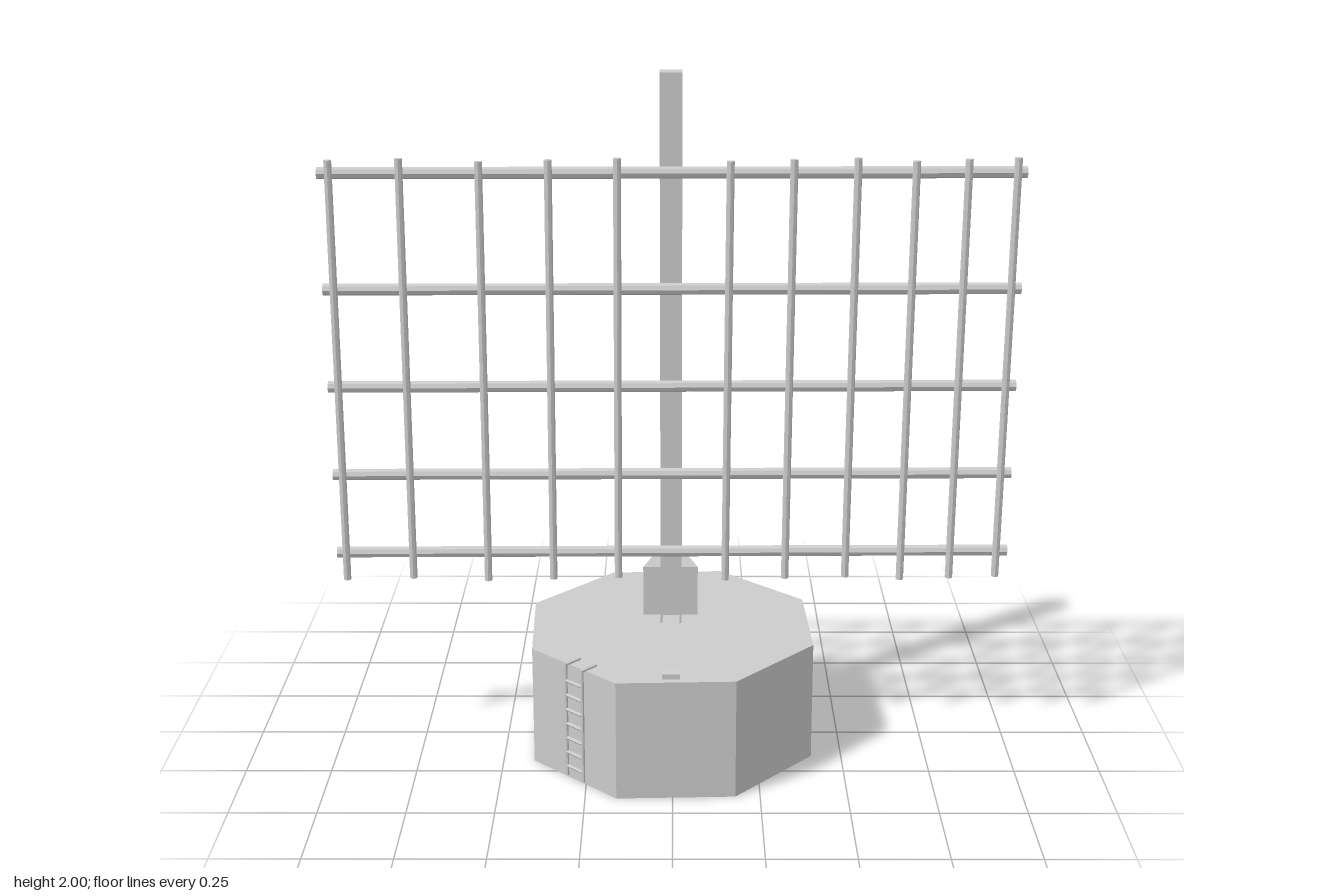
import * as THREE from 'three';

const material = new THREE.MeshStandardMaterial({ color: 0xcccccc, flatShading: true });

export function createModel() {
  const model = new THREE.Group();
  const cx = -0.005; // the mast and plinth sit slightly off centre

  function add(parent, name, geometry, x = 0, y = 0, z = 0) {
    const mesh = new THREE.Mesh(geometry, material);
    mesh.name = name;
    mesh.position.set(x, y, z);
    parent.add(mesh);
    return mesh;
  }

  function group(name) {
    const g = new THREE.Group();
    g.name = name;
    model.add(g);
    return g;
  }

  // Cylinder between two points
  function rod(parent, name, a, b, radius, sides = 8) {
    const from = new THREE.Vector3(...a), to = new THREE.Vector3(...b);
    const dir = to.clone().sub(from);
    const mesh = add(parent, name, new THREE.CylinderGeometry(radius, radius, dir.length(), sides));
    mesh.position.copy(from).add(to).multiplyScalar(0.5);
    mesh.quaternion.setFromUnitVectors(new THREE.Vector3(0, 1, 0), dir.normalize());
    return mesh;
  }

  // Octagonal plinth, turned a little off square
  const plinth = add(model, 'plinth', new THREE.CylinderGeometry(0.444, 0.444, 0.36, 8), cx, 0.18, 0);
  plinth.rotation.y = THREE.MathUtils.degToRad(69.5);

  // Square mast
  add(model, 'mast', new THREE.BoxGeometry(0.063, 1.64, 0.066), cx, 1.18, -0.036);

  // Floor beam running forward, with a bevelled far end
  const profile = new THREE.Shape([[0, 0], [0.392, 0], [0.392, 0.015], [0.382, 0.026], [0, 0.026]]
    .map(([z, y]) => new THREE.Vector2(z, y)));
  const beamGeometry = new THREE.ExtrudeGeometry(profile, { depth: 0.05, bevelEnabled: false });
  beamGeometry.rotateY(-Math.PI / 2);
  add(model, 'floorBeam', beamGeometry, cx + 0.025, 0.36, -0.003);

  // Cabinet behind the mast, narrowing and sloping down to the back
  const cabinetGeometry = new THREE.BoxGeometry(0.164, 0.155, 0.172);
  const p = cabinetGeometry.attributes.position;
  for (let i = 0; i < p.count; i++) {
    if (p.getZ(i) < 0) {
      p.setX(i, p.getX(i) * 0.65);
      if (p.getY(i) > 0) p.setY(i, p.getY(i) - 0.03);
    }
  }
  cabinetGeometry.computeVertexNormals();
  add(model, 'cabinet', cabinetGeometry, cx - 0.002, 0.4375, -0.154);

  // Lattice screen: slightly skewed horizontal bars with uprights in front
  const lattice = group('lattice');
  const barZ = x => 0.017 - 0.0095 * x;
  for (const y of [0.6, 0.842, 1.108, 1.395, 1.727])
    rod(lattice, 'crossBar', [-0.988, y, barZ(-1)], [0.986, y, barZ(1)], 0.017);

  const uprights = [-0.955, -0.76, -0.54, -0.348, -0.157, 0.157, 0.333, 0.51, 0.672, 0.817, 0.953];
  uprights.forEach((x, i) => {
    const z = barZ(x) + 0.027;
    const wobble = 0.005 * Math.sin(i * 2.1);
    rod(lattice, 'upright', [x - 0.003, 0.525 + wobble, z], [x + 0.003, 1.768 + wobble, z], 0.011);
  });

  // Ladder on the front right face, its rails hooked over the plinth edge
  const ladder = group('ladder');
  ladder.position.x = cx;
  ladder.rotation.y = THREE.MathUtils.degToRad(-43);
  const along = 0.018, half = 0.033, out = 0.424;
  for (const side of [-1, 1]) {
    const x = along + side * half;
    rod(ladder, 'rail', [x, 0.015, out], [x, 0.366, out], 0.005, 6);
    rod(ladder, 'railHook', [x, 0.364, out + 0.004], [x, 0.364, out - 0.056], 0.005, 6);
  }
  for (let i = 0; i < 7; i++) {
    const y = 0.045 + i * 0.045;
    rod(ladder, 'rung', [along - half, y, out], [along + half, y, out], 0.005, 6);
  }

  return model;
}
